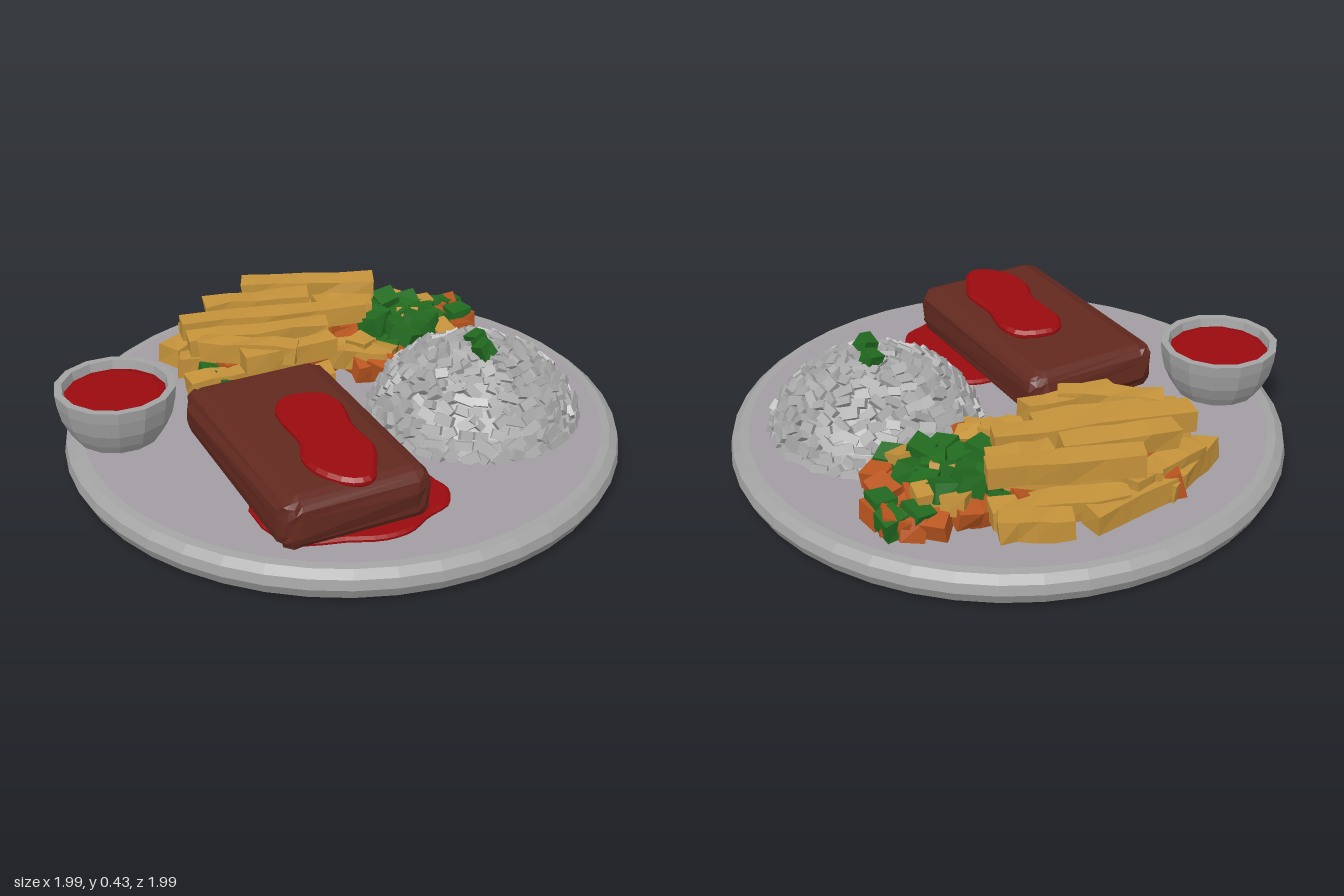
import * as THREE from 'three';
import { mergeGeometries, mergeVertices } from 'three/addons/utils/BufferGeometryUtils.js';
import { RoundedBoxGeometry } from 'three/addons/geometries/RoundedBoxGeometry.js';

const TOP = 0.115; // height of the plate surface

function mat(name, color) {
  const m = new THREE.MeshStandardMaterial({ color, flatShading: true });
  m.name = name;
  return m;
}

let seed = 7;
function rnd(a = 0, b = 1) {
  seed = (seed * 16807) % 2147483647;
  return a + (b - a) * (seed / 2147483647);
}

// Moves shared corners a little so a shape looks hand-cut
function roughen(geo, amount) {
  geo.deleteAttribute('normal');
  geo.deleteAttribute('uv');
  const g = mergeVertices(geo, 1e-4);
  const p = g.attributes.position;
  for (let i = 0; i < p.count; i++) {
    p.setXYZ(i, p.getX(i) + rnd(-amount, amount), p.getY(i) + rnd(-amount, amount), p.getZ(i) + rnd(-amount, amount));
  }
  const out = g.toNonIndexed();
  out.computeVertexNormals();
  return out;
}

function place(geo, x, y, z, rx = 0, ry = 0, rz = 0) {
  const q = new THREE.Quaternion().setFromEuler(new THREE.Euler(rx, ry, rz, 'YXZ'));
  return geo.applyMatrix4(new THREE.Matrix4().compose(new THREE.Vector3(x, y, z), q, new THREE.Vector3(1, 1, 1)));
}

// Flat puddle with a bevelled edge from a closed outline of [x, z]
function puddle(outline, y, height) {
  const curve = new THREE.CatmullRomCurve3(outline.map(([x, z]) => new THREE.Vector3(x, -z, 0)), true);
  const shape = new THREE.Shape(curve.getPoints(36).slice(0, -1).map((p) => new THREE.Vector2(p.x, p.y)));
  const bevel = height / 3;
  const g = new THREE.ExtrudeGeometry(shape, {
    depth: height - 2 * bevel, bevelThickness: bevel, bevelSize: 0.012, bevelOffset: -0.012, bevelSegments: 1,
  });
  return g.rotateX(-Math.PI / 2).translate(0, y + bevel, 0);
}

function lathe(points, sides) {
  return new THREE.LatheGeometry(points.map(([r, y]) => new THREE.Vector2(r, y)), sides);
}

export function createModel() {
  const group = new THREE.Group();
  const ceramic = mat('ceramic', 0xa3a3a3);
  const plateTop = mat('plate surface', 0xa29da2);
  const riceWhite = mat('rice', 0xa8a8a8);
  const meat = mat('meat', 0x62291f);
  const sauce = mat('sauce', 0x9a0a0e);
  const potato = mat('potato', 0xc4923a);
  const pea = mat('green vegetable', 0x226a20);
  const carrot = mat('carrot', 0xb9551f);

  function add(name, geo, material) {
    const mesh = new THREE.Mesh(geo, material);
    mesh.name = name;
    group.add(mesh);
    return mesh;
  }

  // Plate
  add('plate', lathe([[0, 0], [0.93, 0], [0.965, 0.015], [0.985, 0.055], [0.978, 0.09], [0.95, 0.112], [0.92, TOP]], 44)
    .translate(0.01, 0, 0), ceramic).scale.z = 1.01;
  add('plateSurface', new THREE.CircleGeometry(0.92, 44).rotateX(-Math.PI / 2).rotateY(Math.PI / 2)
    .translate(0.01, TOP, 0), plateTop).scale.z = 1.01;

  // Dip bowl
  add('bowl', lathe([[0, TOP], [0.15, TOP], [0.172, 0.15], [0.195, 0.2], [0.208, 0.26], [0.212, 0.302],
    [0.185, 0.302], [0.178, 0.265], [0, 0.255]], 14).translate(-0.785, 0, 0), ceramic);
  add('bowlSauce', lathe([[0.183, 0.268], [0.15, 0.278], [0, 0.282]], 14).translate(-0.785, 0, 0), sauce);

  // Steak with sauce above and below
  const steak = roughen(new RoundedBoxGeometry(0.53, 0.185, 0.87, 2, 0.065), 0.006);
  add('steak', place(steak, -0.19, 0.207, 0.385, 0, 0.28, 0), meat);
  add('steakSauce', puddle([[-0.19, 0.2], [-0.09, 0.21], [-0.04, 0.29], [-0.03, 0.43], [0.0, 0.52], [0.015, 0.58],
    [0, 0.68], [-0.03, 0.77], [-0.1, 0.78], [-0.19, 0.71], [-0.23, 0.61], [-0.22, 0.5], [-0.25, 0.4],
    [-0.27, 0.29], [-0.24, 0.22]], 0.288, 0.035), sauce);
  add('plateSauce', puddle([[0.05, 0.22], [0.13, 0.24], [0.19, 0.36], [0.22, 0.5], [0.26, 0.58], [0.24, 0.67],
    [0.16, 0.73], [0.09, 0.8], [0, 0.83], [-0.12, 0.82], [-0.3, 0.8], [-0.4, 0.55], [-0.2, 0.3]], TOP - 0.002, 0.022), sauce);

  // Rice mound: a core dome covered in rings of tilted grains
  const rx = 0.475, rz = 0.065;
  add('riceCore', lathe([[0.365, TOP], [0.335, 0.18], [0.275, 0.26], [0.19, 0.325], [0.1, 0.355], [0, 0.36]], 24)
    .translate(rx, 0, rz), riceWhite);
  const profile = new THREE.CatmullRomCurve3([[0.365, 0.125], [0.34, 0.18], [0.28, 0.26], [0.19, 0.325], [0.1, 0.352], [0.01, 0.36]]
    .map(([r, y]) => new THREE.Vector3(r, y, 0)));
  const grains = [];
  for (let ring = 0; ring < 12; ring++) {
    const t = ring / 11.5;
    const p = profile.getPointAt(t), d = profile.getTangentAt(t);
    const slope = Math.atan2(-d.x, d.y);
    const count = Math.max(3, Math.round(p.x * 115));
    for (let i = 0; i < count; i++) {
      const a = ((i + rnd(-0.3, 0.3)) / count) * Math.PI * 2;
      const g = new THREE.BoxGeometry(rnd(0.04, 0.075), rnd(0.025, 0.04), 0.026);
      g.rotateZ(rnd(-0.7, 0.7));
      g.rotateY(rnd(-0.45, 0.45));
      grains.push(place(g, rx + Math.sin(a) * p.x, p.y + rnd(-0.004, 0.006), rz + Math.cos(a) * p.x, -slope * 0.8, a, 0));
    }
  }
  add('riceGrains', mergeGeometries(grains), riceWhite);

  // Diced vegetables
  const cubes = { pea: [], carrot: [], potato: [] };
  function dice(kind, x, y, z, s = 0.075) {
    cubes[kind].push(place(roughen(new THREE.BoxGeometry(s, s * 0.85, s), 0.007), x, y, z, rnd(-0.35, 0.35), rnd(0, 3), rnd(-0.35, 0.35)));
  }
  dice('pea', 0.485, 0.385, 0.04, 0.055);
  dice('pea', 0.485, 0.388, 0.135, 0.06);
  // pile beside the fries: greens heaped in the middle, carrots around the edge
  [[0.5, -0.66], [0.55, -0.65], [0.42, -0.67], [0.32, -0.66], [0.27, -0.64], [0.58, -0.56], [0.55, -0.46], [0.55, -0.37],
    [0.51, -0.42], [0.42, -0.3], [0.29, -0.26], [0.13, -0.22], [0.2, -0.2], [0.48, -0.58], [0.22, -0.5]]
    .forEach(([x, z]) => dice('carrot', x, rnd(0.15, 0.18), z, 0.085));
  [[0.57, -0.56], [0.5, -0.31], [0.36, -0.27], [0.25, -0.3], [0.47, -0.64], [0.2, -0.6], [0.56, -0.66]]
    .forEach(([x, z]) => dice('pea', x, rnd(0.17, 0.2), z, 0.08));
  [[0.22, -0.58], [0.3, -0.6], [0.38, -0.6], [0.24, -0.5], [0.33, -0.51], [0.42, -0.53], [0.21, -0.42], [0.29, -0.42],
    [0.37, -0.44], [0.45, -0.45], [0.32, -0.34], [0.4, -0.37]]
    .forEach(([x, z]) => dice('pea', x, rnd(0.215, 0.245), z, 0.085));
  [[0.34, -0.65], [0.35, -0.47], [0.43, -0.6], [0.21, -0.26], [0.14, -0.29], [0.46, -0.36]]
    .forEach(([x, z]) => dice('potato', x, rnd(0.2, 0.23), z, 0.08));
  // filling under the greens and the fries
  for (let i = 0; i < 6; i++) dice(i % 2 ? 'pea' : 'carrot', 0.24 + (i % 3) * 0.1, 0.16, i < 3 ? -0.54 : -0.4, 0.1);
  for (let i = 0; i < 20; i++) {
    dice(i % 5 === 2 ? 'pea' : 'carrot', -0.36 + (i % 5) * 0.12, 0.165, -0.64 + Math.floor(i / 5) * 0.11, 0.1);
  }
  dice('pea', -0.38, 0.155, -0.2, 0.08);
  dice('pea', -0.43, 0.16, -0.27, 0.08);

  // Fries: [x1, y1, z1, x2, y2, z2, width]
  const fries = [
    // lower layer
    [-0.57, 0.16, -0.45, -0.33, 0.16, -0.68, 0.09], [-0.4, 0.17, -0.64, -0.05, 0.17, -0.79, 0.09],
    [0.01, 0.185, -0.82, 0.24, 0.185, -0.77, 0.085], [-0.2, 0.18, -0.72, 0.25, 0.18, -0.7, 0.09],
    [-0.5, 0.2, -0.53, -0.2, 0.2, -0.7, 0.09], [-0.52, 0.16, -0.19, -0.18, 0.17, -0.24, 0.085],
    [-0.34, 0.16, -0.11, 0.01, 0.17, -0.17, 0.085], [-0.54, 0.17, -0.36, -0.2, 0.18, -0.33, 0.085],
    [-0.1, 0.18, -0.36, 0.2, 0.18, -0.32, 0.08], [-0.33, 0.2, -0.66, 0.18, 0.21, -0.58, 0.08],
    [0.02, 0.2, -0.28, 0.22, 0.2, -0.22, 0.08],
    // upper layer
    [-0.26, 0.3, -0.69, 0.25, 0.3, -0.64, 0.09], [-0.42, 0.29, -0.55, -0.02, 0.3, -0.56, 0.09],
    [-0.52, 0.28, -0.43, 0.18, 0.29, -0.45, 0.085], [0.0, 0.27, -0.54, 0.22, 0.26, -0.53, 0.085],
    [-0.5, 0.25, -0.35, 0.02, 0.27, -0.36, 0.085], [-0.46, 0.26, -0.3, -0.12, 0.27, -0.19, 0.08],
    [-0.32, 0.25, -0.18, 0.02, 0.26, -0.25, 0.08],
  ].map(([x1, y1, z1, x2, y2, z2, w]) => {
    const dx = x2 - x1, dy = y2 - y1, dz = z2 - z1;
    const g = roughen(new THREE.BoxGeometry(Math.hypot(dx, dy, dz), 0.075, w, 4, 1, 1), 0.007);
    return place(g, (x1 + x2) / 2, (y1 + y2) / 2, (z1 + z2) / 2, 0, -Math.atan2(dz, dx), Math.atan2(dy, Math.hypot(dx, dz)));
  });
  add('fries', mergeGeometries(fries), potato);
  add('greenVegetables', mergeGeometries(cubes.pea), pea);
  add('carrotCubes', mergeGeometries(cubes.carrot), carrot);
  add('potatoCubes', mergeGeometries(cubes.potato), potato);

  return group;
}
